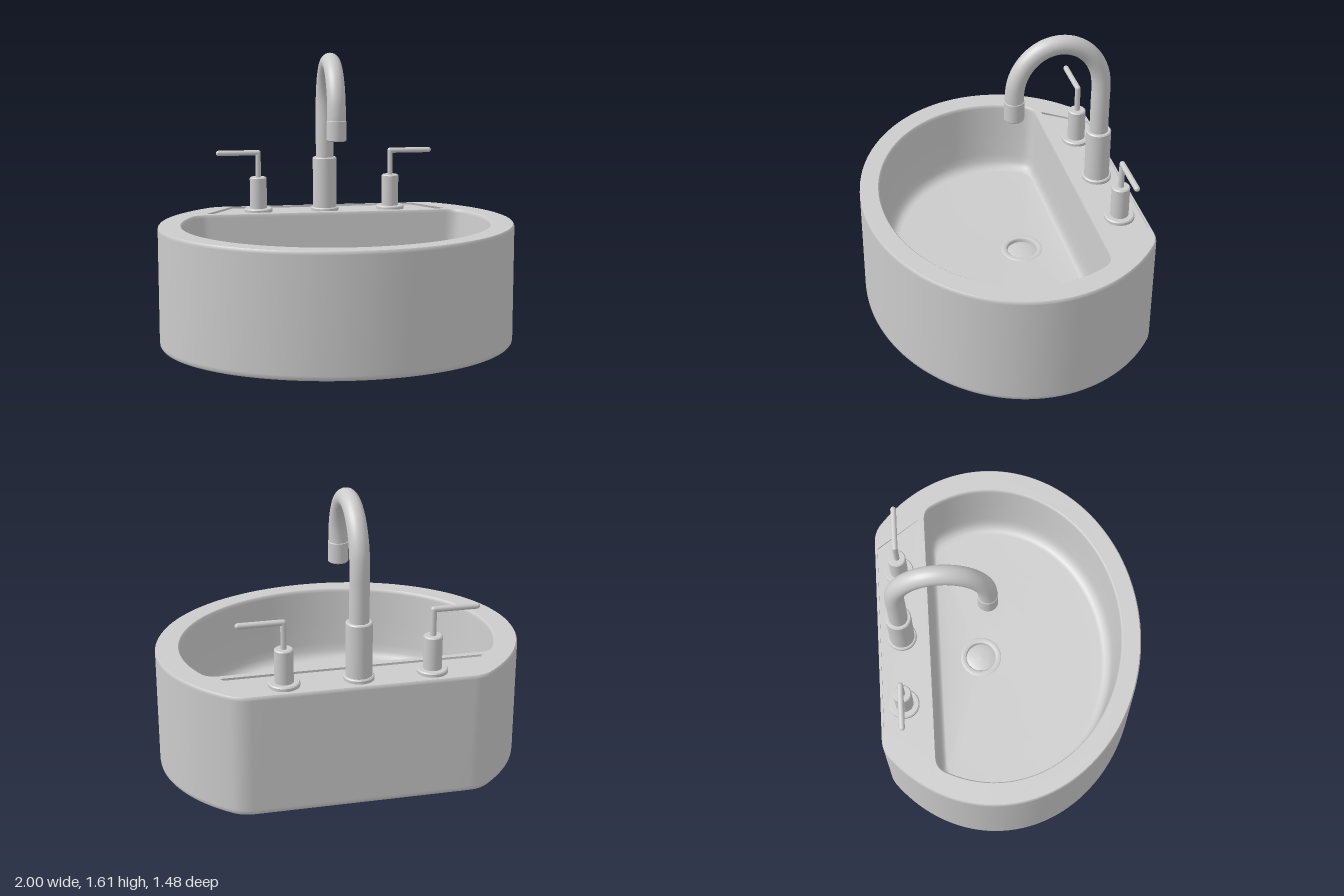
import * as THREE from 'three';

const grey = new THREE.MeshStandardMaterial({ color: 0xcccccc, side: THREE.DoubleSide });
const TOP = 0.68, ZC = -0.1, DRAIN_Z = -0.17;

function add(parent, name, geometry, x = 0, y = 0, z = 0) {
  const mesh = new THREE.Mesh(geometry, grey);
  mesh.name = name;
  mesh.position.set(x, y, z);
  parent.add(mesh);
  return mesh;
}

// Ellipse cut straight at the back (z = zBack), with rounded back corners; [x, z] pairs
function outline(a, b, zBack, r) {
  const start = Math.asin((zBack - ZC) / b), cut = r / a, pts = [];
  const xc = a * Math.cos(start), N = 96, C = 6, B = 16;
  const arc = (t) => [a * Math.cos(t), ZC + b * Math.sin(t)];
  const corner = (p, q, s) => {
    for (let i = 1; i < C; i++) {
      const t = i / C, u = 1 - t;
      pts.push([0, 1].map((k) => u * u * p[k] + 2 * u * t * [s * xc, zBack][k] + t * t * q[k]));
    }
  };
  const t0 = start + cut, t1 = Math.PI - t0;
  for (let i = 0; i <= N; i++) pts.push(arc(t0 + (t1 - t0) * i / N));
  corner(arc(t1), [-xc + r, zBack], -1);
  for (let i = 0; i <= B; i++) pts.push([(-xc + r) * (1 - 2 * i / B), zBack]);
  corner([xc - r, zBack], arc(t0), 1);
  return pts;
}

// Skin through closed rings, each { p: [[x, z]...], y }
function loft(rings) {
  const n = rings[0].p.length, pos = [], idx = [];
  rings.forEach(({ p, y }) => p.forEach(([x, z]) => pos.push(x, y, z)));
  for (let i = 0; i < rings.length - 1; i++) {
    for (let j = 0; j < n; j++) {
      const a = i * n + j, b = i * n + (j + 1) % n;
      idx.push(a, a + n, b, b, a + n, b + n);
    }
  }
  const g = new THREE.BufferGeometry();
  g.setAttribute('position', new THREE.Float32BufferAttribute(pos, 3));
  g.setIndex(idx);
  g.computeVertexNormals();
  return g;
}

// Flat face looking up, with holes
function flat(pts, holes = []) {
  const v = (list) => list.map(([x, z]) => new THREE.Vector2(x, -z));
  const shape = new THREE.Shape(v(pts));
  holes.forEach((h) => shape.holes.push(new THREE.Path(v(h))));
  return new THREE.ShapeGeometry(shape).rotateX(-Math.PI / 2);
}

function lathe(profile, seg = 40) {
  return new THREE.LatheGeometry(profile.map(([r, y]) => new THREE.Vector2(r, y)), seg);
}

// Capped cylinder with a slightly softened top edge
function post(r, y0, y1) {
  const e = 0.006;
  const g = lathe([[0, y0], [r, y0], [r, y0], [r, y1 - e], [r, y1 - e], [r - e, y1], [r - e, y1], [0, y1]]);
  return g;
}

export function createModel() {
  const root = new THREE.Group();
  root.name = 'washbasin';
  const basin = new THREE.Group();
  basin.name = 'basin';
  root.add(basin);

  // Outer skirt, open underneath
  const outer = (d) => outline(1 - d, 0.838 - d, -0.74 + d, 0.06);
  add(basin, 'outerWall', loft([
    [0.022, 0.012], [0.018, 0], [0.01, 0.002], [0.002, 0.012], [0, 0.03], [0, 0.3],
    [0, 0.66], [0.001, 0.672], [0.007, TOP],
  ].map(([d, y]) => ({ p: outer(d), y }))));

  // Rim with the bowl opening and the tap panel cut out
  const bowl = (d) => outline(0.875 - d, 0.735 - d, -0.452 + d * 0.5, 0.06);
  const panel = [[0.54, -0.725], [0.71, -0.485], [-0.71, -0.485], [-0.54, -0.725]];
  add(basin, 'rim', flat(outer(0.007), [bowl(0), panel]), 0, TOP, 0);

  // Shallow tap panel
  const panelY = TOP - 0.012;
  add(basin, 'tapPanel', flat(panel), 0, panelY, 0);
  add(basin, 'tapPanelEdge', loft([{ p: panel, y: TOP }, { p: panel, y: panelY }]));

  // Bowl: wall, fillet and floor running to the drain
  const rings = [
    [0, TOP], [0.006, 0.675], [0.01, 0.66], [0.02, 0.5], [0.034, 0.34], [0.042, 0.295],
    [0.056, 0.267], [0.078, 0.253], [0.1, 0.249],
  ].map(([d, y]) => ({ p: bowl(d), y }));
  const edge = rings[rings.length - 1].p;
  for (const [t, y] of [[0.3, 0.244], [0.6, 0.24], [0.85, 0.238], [1, 0.236]]) {
    rings.push({
      y,
      p: edge.map(([x, z]) => {
        const len = Math.hypot(x, z - DRAIN_Z), k = (len + (0.11 - len) * t) / len;
        return [x * k, DRAIN_Z + (z - DRAIN_Z) * k];
      }),
    });
  }
  add(basin, 'bowl', loft(rings));

  // Drain flange and domed plug
  add(basin, 'drainFlange', lathe([[0.085, 0.21], [0.085, 0.234], [0.092, 0.24], [0.112, 0.241], [0.12, 0.236]]), 0, 0, DRAIN_Z);
  add(basin, 'drainPlug', lathe([[0.086, 0.216], [0.07, 0.222], [0.04, 0.228], [0, 0.23]]), 0, 0, DRAIN_Z);

  // Spout: flange, body, bent neck and nozzle
  const spout = new THREE.Group();
  spout.name = 'spout';
  root.add(spout);
  const zs = -0.604;
  add(spout, 'spoutFlange', post(0.082, panelY, 0.69), 0, 0, zs);
  add(spout, 'spoutBody', post(0.07, panelY, 0.987), 0, 0, zs);
  const path = [0.95, 1.06, 1.17].map((y) => new THREE.Vector3(0, y, zs));
  for (let i = 0; i <= 12; i++) {
    const t = Math.PI * i / 12;
    path.push(new THREE.Vector3(0, 1.28 + 0.282 * Math.sin(t), -0.36 - 0.244 * Math.cos(t)));
  }
  path.push(new THREE.Vector3(0, 1.24, -0.116));
  add(spout, 'spoutNeck', new THREE.TubeGeometry(new THREE.CatmullRomCurve3(path), 80, 0.052, 28));
  add(spout, 'nozzle', lathe([
    [0, 1.16], [0.042, 1.16], [0.042, 1.137], [0.05, 1.137], [0.055, 1.143], [0.055, 1.143],
    [0.055, 1.25], [0.055, 1.25], [0.05, 1.255], [0, 1.255],
  ]), 0, 0, -0.116);

  // Mirrored lever handles
  for (const s of [1, -1]) {
    const handle = new THREE.Group();
    handle.name = s > 0 ? 'leftHandle' : 'rightHandle';
    handle.position.set(s * 0.395, 0, -0.606);
    root.add(handle);
    add(handle, 'handleFlange', post(0.083, panelY, 0.69));
    add(handle, 'handleBody', post(0.05, panelY, 0.874));
    add(handle, 'handleStem', new THREE.CapsuleGeometry(0.016, 0.16, 6, 16), 0, 0.938, 0);
    add(handle, 'lever', new THREE.CapsuleGeometry(0.016, 0.232, 6, 16).rotateZ(Math.PI / 2), s * 0.116, 1.018, 0);
  }
  return root;
}
